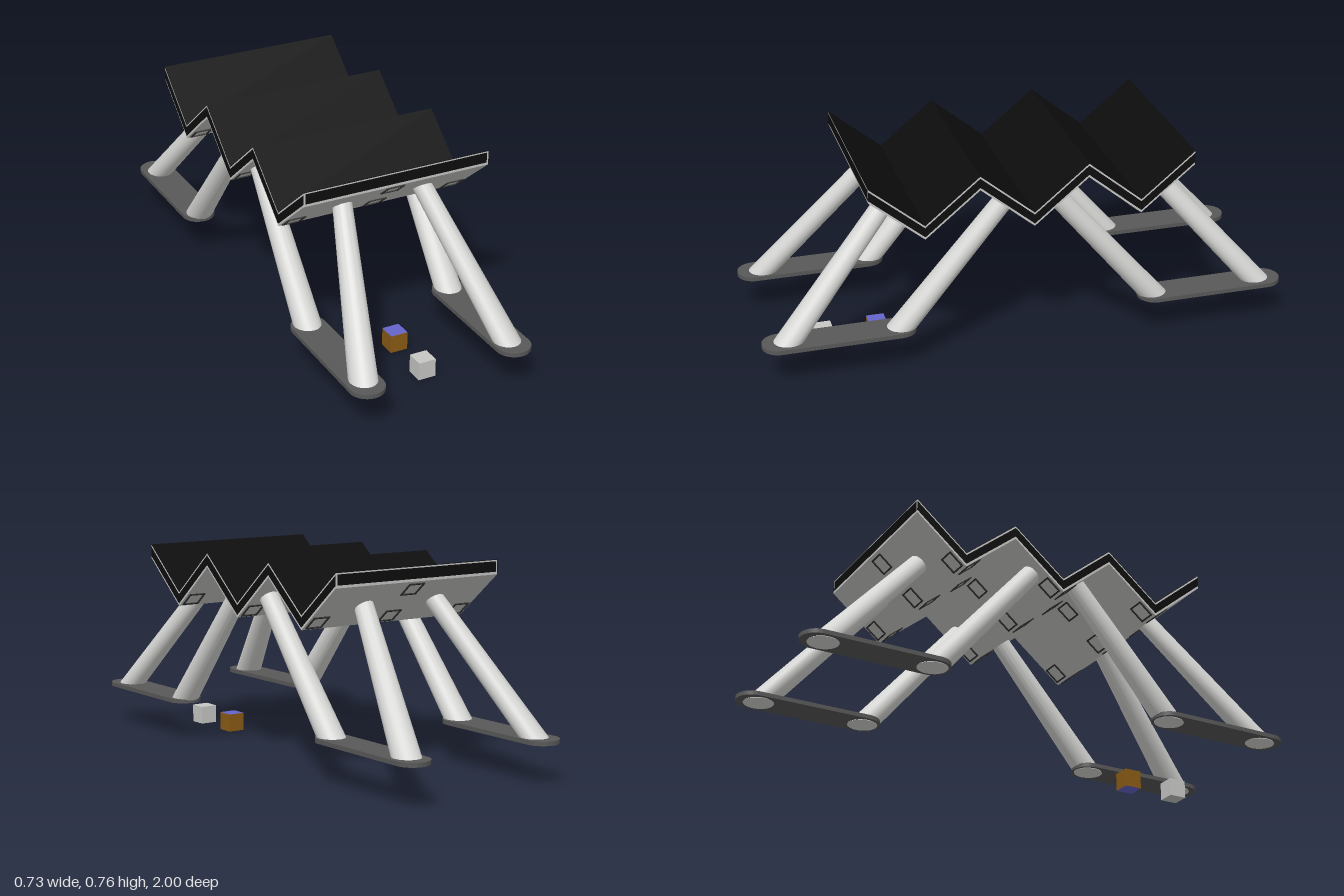
import * as THREE from 'three';
import { toCreasedNormals } from 'three/addons/utils/BufferGeometryUtils.js';

const mat = (name, color) => Object.assign(new THREE.MeshStandardMaterial({ color }), { name });

// Zigzag line of the roof underside: [z, y]
const ZIG = [[-0.606, 0.71], [-0.405, 0.543], [-0.202, 0.71], [0, 0.543], [0.202, 0.71], [0.405, 0.543], [0.606, 0.71]];
const THICK = 0.055;

export function createModel() {
  const model = new THREE.Group();
  const black = mat('panel black', 0x0d0d0d);
  const grey = mat('frame grey', 0xc6c6c4);
  const legGrey = mat('leg light grey', 0xd6d6d4);
  const footGrey = mat('foot dark grey', 0x585858);
  const line = mat('hatch outline', 0x303030);
  const brown = mat('crate brown', 0x8a5a14);
  const blue = mat('crate blue', 0x6464cc);

  const add = (name, geo, material, x = 0, y = 0, z = 0, parent = model) => {
    const mesh = new THREE.Mesh(geo, material);
    mesh.name = name;
    mesh.position.set(x, y, z);
    parent.add(mesh);
    return mesh;
  };

  // Zigzag band between two heights above the underside line, extruded along x
  const zigzag = (low, high, width) => {
    const pts = [
      ...ZIG.map(([z, y]) => new THREE.Vector2(z, y + low)),
      ...[...ZIG].reverse().map(([z, y]) => new THREE.Vector2(z, y + high)),
    ];
    const geo = new THREE.ExtrudeGeometry(new THREE.Shape(pts), { depth: width, bevelEnabled: false });
    return geo.translate(0, 0, -width / 2).rotateY(-Math.PI / 2);
  };

  // Folded roof: grey body, black top skin, black insets on sides and ends
  add('roofBody', zigzag(0, THICK - 0.002, 0.73), grey);
  add('roofTopSkin', zigzag(THICK - 0.002, THICK, 0.73), black);
  for (const s of [-1, 1]) {
    add('roofSideInset', zigzag(0.01, 0.045, 0.003), black, s * 0.365);
    add('roofEndInset', new THREE.BoxGeometry(0.716, 0.038, 0.003), black, 0, 0.739, s * 0.606);
  }

  // Square hatch outlines under each roof panel
  const ring = new THREE.Shape();
  const square = (path, h) => path.moveTo(-h, -h).lineTo(h, -h).lineTo(h, h).lineTo(-h, h).closePath();
  square(ring, 0.035);
  ring.holes.push(square(new THREE.Path(), 0.029));
  const ringGeo = new THREE.ExtrudeGeometry(ring, { depth: 0.004, bevelEnabled: false });
  for (let i = 0; i < 6; i++) {
    const [a, b] = [ZIG[i], ZIG[i + 1]];
    const rising = b[1] > a[1];
    const [low, high] = rising ? [a, b] : [b, a];
    const tilt = Math.atan2(Math.abs(b[0] - a[0]), Math.abs(b[1] - a[1]));
    for (const [x, t] of [[-0.32, 0.17], [0, 0.17], [0.32, 0.17], [0, 0.82]]) {
      const hatch = add('hatchOutline', ringGeo, line, x,
        low[1] + (high[1] - low[1]) * t, low[0] + (high[0] - low[0]) * t);
      hatch.rotation.x = rising ? tilt : Math.PI - tilt;
    }
  }

  // Tapered leg: level ring at the foot, ring lying on the roof slope at the top
  const legGeometry = (base, top) => {
    const geo = new THREE.CylinderGeometry(1, 1, 1, 32);
    const p = geo.attributes.position;
    const lower = new THREE.Vector3(), upper = new THREE.Vector3();
    for (let i = 0; i < p.count; i++) {
      const x = p.getX(i), z = p.getZ(i);
      lower.set(base[0] + 0.052 * x, base[1], base[2] + 0.057 * z);
      upper.set(top[0] + 0.036 * x, top[1] + 0.024 * z, top[2] + 0.028 * z);
      lower.lerp(upper, p.getY(i) + 0.5);
      p.setXYZ(i, lower.x, lower.y, lower.z);
    }
    return toCreasedNormals(geo, 0.6);
  };

  // Rounded foot plate
  const plate = new THREE.Shape();
  plate.absarc(0, 0.22, 0.065, 0, Math.PI, false);
  plate.absarc(0, -0.22, 0.065, Math.PI, Math.PI * 2, false);
  plate.closePath();
  const plateGeo = toCreasedNormals(
    new THREE.ExtrudeGeometry(plate, { depth: 0.016, bevelEnabled: false, curveSegments: 16 })
      .rotateX(-Math.PI / 2), 0.6);

  const outerLeg = legGeometry([0, 0.149, 0.915], [-0.131, 0.622, 0.499]);
  const innerLeg = legGeometry([0, 0.149, 0.497], [-0.003, 0.624, 0.096]);
  // One support per corner; the half turn mirrors it to the opposite corner
  for (const sx of [-1, 1]) {
    for (const sz of [-1, 1]) {
      const support = new THREE.Group();
      support.name = 'support';
      model.add(support);
      support.position.x = sx * 0.292;
      support.scale.set(sx, 1, sz);
      add('footPlate', plateGeo, footGrey, 0, 0.151, 0.715, support);
      add('outerLeg', outerLeg, legGrey, 0, 0, 0, support);
      add('innerLeg', innerLeg, legGrey, 0, 0, 0, support);
    }
  }

  // Two small crates on the ground
  const crate = new THREE.BoxGeometry(0.068, 0.07, 0.068);
  add('greyCrate', crate, grey, 0.045, 0.035, 0.734);
  add('brownCrate', crate, [brown, brown, blue, blue, brown, brown], 0.045, 0.035, 0.528);

  return model;
}
